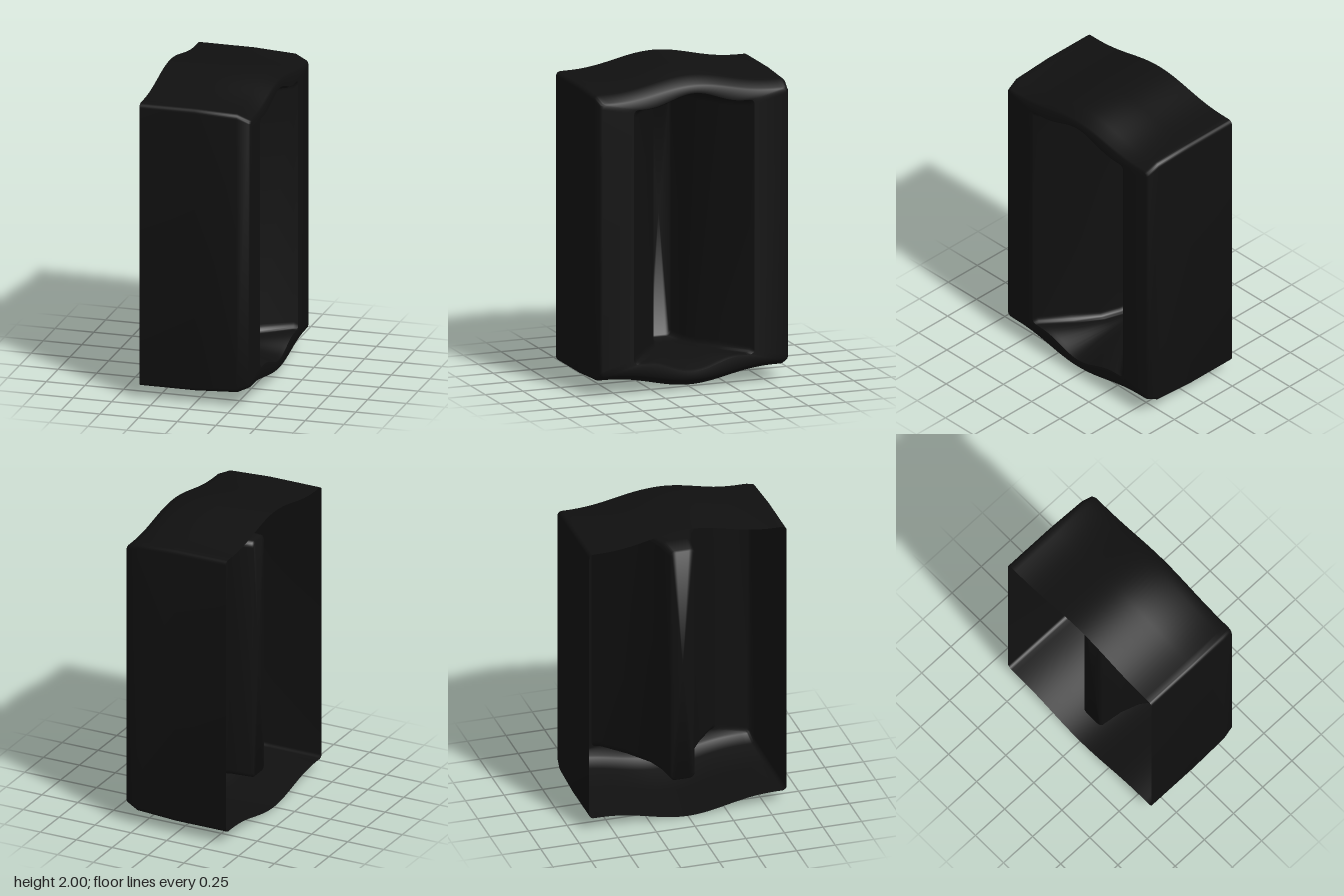
import * as THREE from 'three';
import { toCreasedNormals } from 'three/addons/utils/BufferGeometryUtils.js';

// Closed outline across x: half width w, half height h at the edges,
// a rise b in the middle of top and bottom, corner radius r.
function ring([x, w, h, b, r]) {
  const rise = z => b * (0.5 + 0.5 * Math.cos(Math.PI * Math.min(1, z / (w - 0.04)))) ** 1.3;
  const quarter = [];
  const flat = w - r;
  for (let i = 0; i < 20; i++) {
    const z = (flat * i) / 20;
    quarter.push([z, h + rise(z)]);
  }
  for (let i = 0; i <= 6; i++) {
    const a = (i / 6) * Math.PI / 2;
    quarter.push([flat + r * Math.sin(a), h - r + rise(flat) + r * Math.cos(a)]);
  }
  const back = [...quarter].reverse();
  return [
    ...quarter,
    ...back.map(([z, y]) => [z, -y]),
    ...quarter.slice(1).map(([z, y]) => [-z, -y]),
    ...back.map(([z, y]) => [-z, y]),
  ].map(([z, y]) => new THREE.Vector3(x, 1 + y, z));
}

// Skin over successive rings, with an optional end cap.
function loft(sections, cap) {
  const rings = sections.map(ring);
  const n = rings[0].length;
  const positions = rings.flat().flatMap(p => p.toArray());
  const index = [];
  for (let i = 0; i < rings.length - 1; i++) {
    for (let j = 0; j < n - 1; j++) {
      const a = i * n + j, c = a + n;
      index.push(a, a + 1, c, a + 1, c + 1, c);
    }
  }
  if (cap) {
    const x = sections[sections.length - 1][0];
    const first = (rings.length - 1) * n;
    const centre = positions.length / 3;
    positions.push(x, 1, 0);
    for (let j = 0; j < n - 1; j++) index.push(centre, first + j, first + j + 1);
  }
  const geometry = new THREE.BufferGeometry();
  geometry.setAttribute('position', new THREE.Float32BufferAttribute(positions, 3));
  geometry.setIndex(index);
  return toCreasedNormals(geometry, 1.1);
}

export function createModel() {
  const group = new THREE.Group();
  group.name = 'recessedHousing';
  const material = new THREE.MeshStandardMaterial({ color: 0x101010, side: THREE.DoubleSide });
  const add = (name, geometry) => {
    const mesh = new THREE.Mesh(geometry, material);
    mesh.name = name;
    group.add(mesh);
  };

  // Outer sleeve, open at the back, rolling over into the front rim
  const rim = [0.352, 0.4, 0.81, 0.075, 0.03];
  add('outerShell', loft([
    [-0.355, 0.64, 0.92, 0.08, 0.03],
    [0, 0.64, 0.92, 0.08, 0.03],
    [0.27, 0.635, 0.907, 0.078, 0.03],
    [0.345, 0.625, 0.872, 0.07, 0.03],
    [0.355, 0.61, 0.862, 0.07, 0.03],
    rim,
  ], false));

  // Pocket: walls sweep in from the rim, then run back nearly parallel to a tall slot
  add('pocket', loft([
    rim,
    [0.33, 0.38, 0.802, 0.072, 0.04],
    [0.17, 0.25, 0.8, 0.04, 0.05],
    [0.02, 0.14, 0.8, 0.012, 0.04],
    [-0.1, 0.1, 0.8, 0, 0.04],
    [-0.24, 0.08, 0.8, 0, 0.035],
    [-0.25, 0.07, 0.79, 0, 0.03],
  ], true));

  return group;
}
